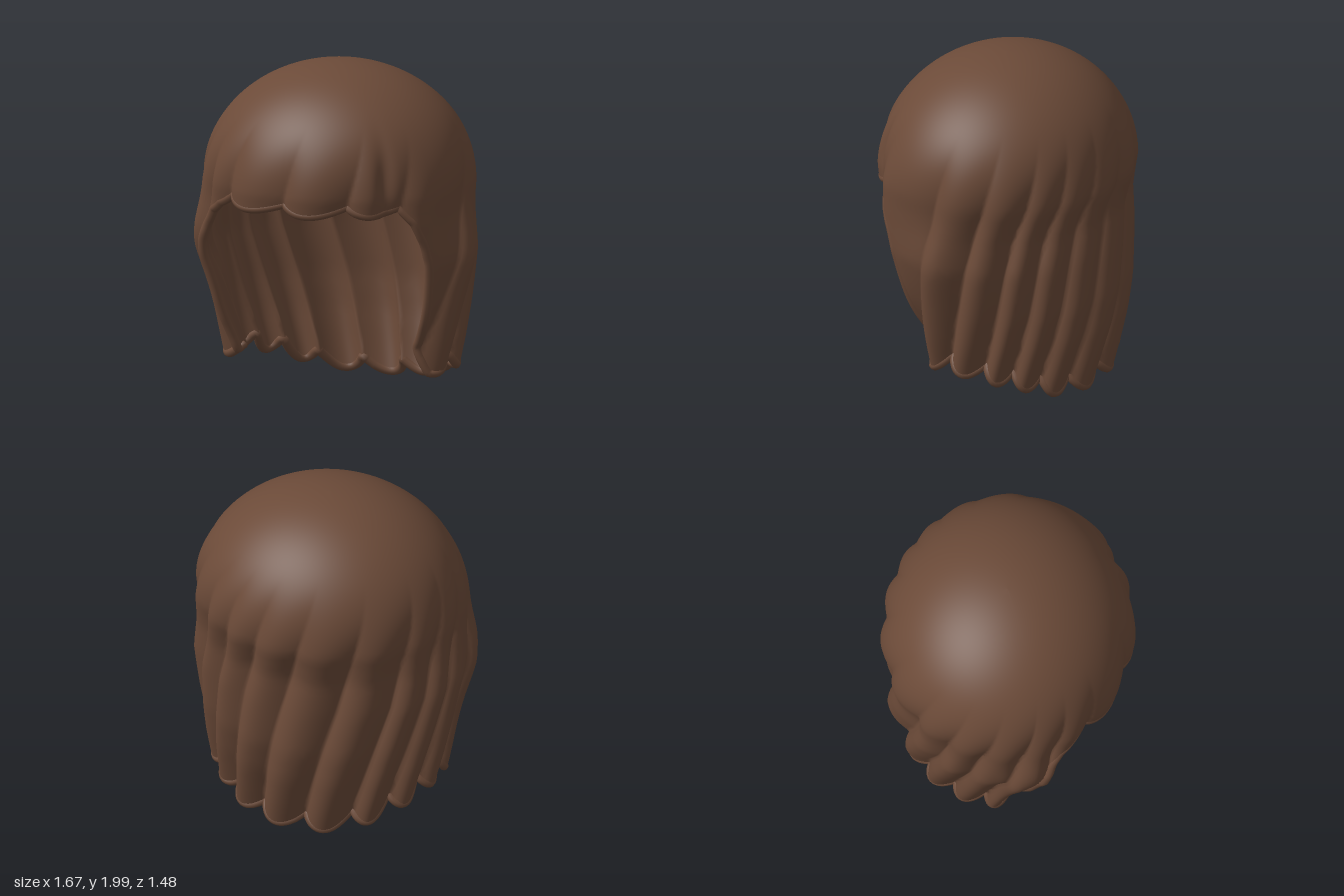
import * as THREE from 'three';

const COLS = 320, ROWS = 56, THICK = 0.045;
const DEG = Math.PI / 180;
const { smoothstep } = THREE.MathUtils;

// Linear lookup in a table of [key, value...] rows with rising keys
function lookup(table, key, col = 1) {
  if (key <= table[0][0]) return table[0][col];
  for (let i = 1; i < table.length; i++) {
    const a = table[i - 1], b = table[i];
    if (key <= b[0]) return a[col] + (b[col] - a[col]) * (key - a[0]) / (b[0] - a[0]);
  }
  return table[table.length - 1][col];
}

// Height, half width, front depth, back depth below the dome
const BODY = [
  [0, 0.68, 0.55, 0.61], [0.2, 0.71, 0.59, 0.655], [0.4, 0.745, 0.63, 0.695],
  [0.6, 0.775, 0.68, 0.715], [0.9, 0.815, 0.72, 0.705], [1.1, 0.805, 0.725, 0.695],
  [1.2, 0.805, 0.73, 0.715], [1.3, 0.81, 0.745, 0.74],
];
// Angle from the front and height of the hem
const HEM = [
  [0, 1.265], [38, 1.275], [46, 1.26], [52, 1.2], [57, 1.08], [60, 0.95], [62.5, 0.75],
  [65, 0.55], [69, 0.35], [74, 0.29], [90, 0.32], [105, 0.3], [120, 0.26], [135, 0.21],
  [147, 0.16], [160, 0.135], [180, 0.12],
];
// Angles of the grooves between locks, at the height of the lower hem
const GROOVES = [-59, -28, 1, 25, 66, 90, 110, 126, 143, 163, 188, 213, 232, 250, 268, 284, 301];
const TWIST = 20; // degrees of slant per unit of height

// 0 in a groove, 1 on the crest of a lock
function lock(deg, y) {
  const first = GROOVES[0];
  const a = ((deg - TWIST * (y - 0.2) - first) % 360 + 360) % 360 + first;
  for (let i = 1; i < GROOVES.length; i++) {
    if (a <= GROOVES[i]) {
      const t = (a - GROOVES[i - 1]) / (GROOVES[i] - GROOVES[i - 1]);
      return Math.max(0, Math.sin(Math.PI * Math.pow(t, 0.75)));
    }
  }
  return 0;
}

const wrap = d => ((d + 180) % 360 + 360) % 360 - 180;
const bump = (d, y, d0, dw, y0, yw) =>
  Math.exp(-((wrap(d - d0) / dw) ** 2) - ((y - y0) / yw) ** 2);

// Scallops are deeper on the long hem than on the fringe
function hemHeight(deg) {
  const base = lookup(HEM, Math.abs(wrap(deg)));
  return base - (0.09 - 0.035 * smoothstep(base, 0.3, 1)) * lock(deg, base);
}

// Point on the hair at an angle and height, moved inwards by inset
function hairPoint(deg, y, inset) {
  const yc = Math.min(y, 1.3);
  const dome = y > 1.3 ? Math.sqrt(Math.max(0, 1 - ((y - 1.3) / 0.7) ** 2)) : 1;
  const c = Math.cos(deg * DEG), s = Math.sin(deg * DEG);
  const w = smoothstep(c, -0.4, 0.4);
  const rx = lookup(BODY, yc, 1);
  const rz = lookup(BODY, yc, 3) * (1 - w) + lookup(BODY, yc, 2) * w;
  const fold = 0.06 * (1 - smoothstep(y, 1.05, 1.75)) + 0.02 * (1 - smoothstep(y, 0.2, 0.8));
  // Locks that swing out at the sides
  const flare = 0.08 * bump(deg, y, -62, 8, 0.97, 0.22) + 0.05 * bump(deg, y, -76, 7, 0.95, 0.25)
    + 0.035 * bump(deg, y, 84, 12, 0.92, 0.25) + 0.03 * bump(deg, y, 53, 9, 1.2, 0.25);
  // The front tips of the side locks curl in
  const curl = 0.1 * (bump(deg, y, 68, 9, 0.12, 0.35) + bump(deg, y, -68, 9, 0.12, 0.35));
  // Deep crease at one end of the fringe
  const crease = 0.035 * bump(deg, y, 39, 4, 1.42, 0.18);
  const d = flare - curl - crease - fold * (1 - lock(deg, y)) - inset;
  const drop = inset * Math.max(0, (y - 1.3) / 0.7);
  return new THREE.Vector3((rx + d) * dome * s, y - drop, (rz + d) * dome * c);
}

// Sheet of columns running from the crown to the hem
function sheet(inset, flip) {
  const pos = [], index = [];
  for (let j = 0; j <= ROWS; j++) {
    for (let i = 0; i < COLS; i++) {
      const deg = i * 360 / COLS, t = j / ROWS;
      const y = 2 - (2 - hemHeight(deg)) * Math.pow(t, 1.8);
      pos.push(...hairPoint(deg, y, inset).toArray());
    }
  }
  for (let j = 0; j < ROWS; j++) {
    for (let i = 0; i < COLS; i++) {
      const n = (i + 1) % COLS;
      const a = j * COLS + i, b = j * COLS + n, c = a + COLS, d = b + COLS;
      if (flip) index.push(a, b, c, b, d, c);
      else index.push(a, c, b, b, c, d);
    }
  }
  const geo = new THREE.BufferGeometry();
  geo.setAttribute('position', new THREE.Float32BufferAttribute(pos, 3));
  geo.setIndex(index);
  geo.computeVertexNormals();
  return geo;
}

export function createModel() {
  const group = new THREE.Group();
  group.name = 'hair';
  const brown = new THREE.MeshStandardMaterial({ color: 0x6b4a38 });
  brown.name = 'brown hair';

  const add = (name, geo) => {
    const mesh = new THREE.Mesh(geo, brown);
    mesh.name = name;
    group.add(mesh);
  };

  add('outerHair', sheet(0, false));
  add('innerHair', sheet(THICK, true));

  // Rounded roll along the hem
  const rim = [];
  for (let i = 0; i < COLS; i++) {
    const deg = i * 360 / COLS;
    rim.push(hairPoint(deg, hemHeight(deg), THICK / 2));
  }
  const curve = new THREE.CatmullRomCurve3(rim, true);
  curve.arcLengthDivisions = 1600;
  add('hemRoll', new THREE.TubeGeometry(curve, 480, 0.027, 10, true));

  return group;
}
